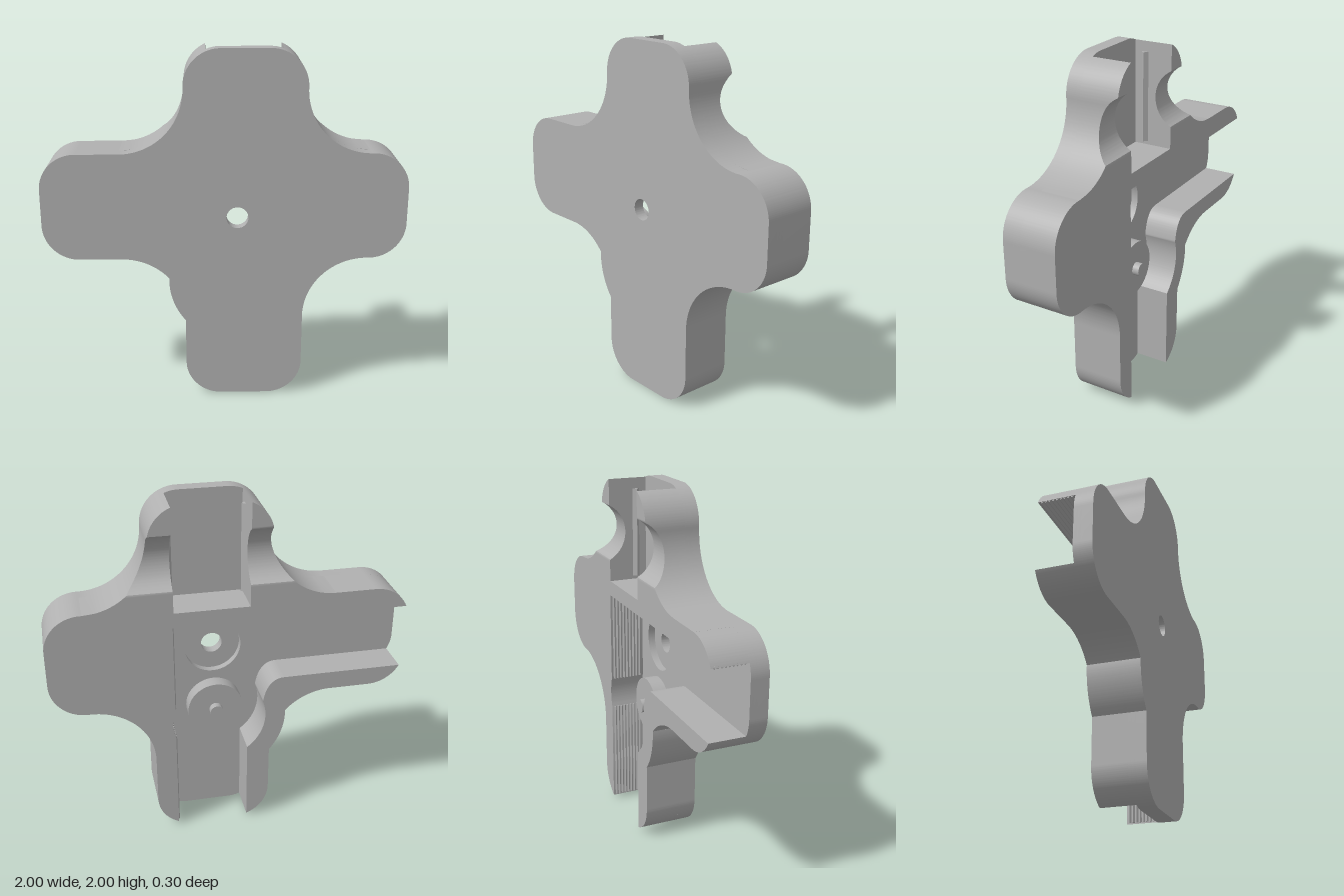
import * as THREE from 'three';
import { toCreasedNormals } from 'three/addons/utils/BufferGeometryUtils.js';

const BACK = -0.15, FRONT = 0.15;
const HUB = [0.07, 0.71];

// Arc from the current point to (x, y) about centre (cx, cy)
function arc(p, cx, cy, x, y, clockwise = false) {
  const c = p.currentPoint;
  p.absarc(cx, cy, Math.hypot(x - cx, y - cy),
    Math.atan2(c.y - cy, c.x - cx), Math.atan2(y - cy, x - cx), clockwise);
}

// Half-width of a circle of radius r at distance d from its centre
const chord = (r, d) => Math.sqrt(Math.max(0, r * r - d * d));

// Lower side of the right arm and its rounded end, up to (0.8, 1.44)
function rightEdge(p) {
  p.lineTo(0.44, 0.49);
  arc(p, 0.79, 0.49, 0.79, 0.84, true);
  p.lineTo(0.8, 0.84);
  arc(p, 0.8, 1.04, 1, 1.04);
  p.lineTo(1, 1.24);
  arc(p, 0.8, 1.24, 0.8, 1.44);
}

// Underside of the left arm, around the bulge, to the bottom arm
function lowerLeftEdge(p) {
  p.lineTo(-0.57, 0.84);
  arc(p, -0.57, 0.49, -0.3097, 0.724, true);
  arc(p, ...HUB, -0.2209, 0.4655);
  p.lineTo(-0.22, 0.2);
}

function circleHole(x, y, r) {
  const h = new THREE.Path();
  h.absarc(x, y, r, 0, Math.PI * 2, true);
  return h;
}

// Cross outline; the short one leaves out the top arm
function outline(holeRadius, withTop) {
  const s = new THREE.Shape();
  s.moveTo(-0.02, 0);
  s.lineTo(0.24, 0);
  arc(s, 0.24, 0.2, 0.44, 0.2);
  rightEdge(s);
  if (withTop) {
    s.lineTo(0.79, 1.44);
    arc(s, 0.79, 1.79, 0.44, 1.79, true);
    s.lineTo(0.44, 1.8);
    arc(s, 0.24, 1.8, 0.24, 2);
    s.lineTo(-0.02, 2);
    arc(s, -0.02, 1.8, -0.22, 1.8);
    s.lineTo(-0.22, 1.79);
    arc(s, -0.57, 1.79, -0.57, 1.44, true);
  } else {
    s.lineTo(0.315, 1.44);
    s.lineTo(0.315, 1.405);
    s.lineTo(-0.1, 1.405);
    s.lineTo(-0.1, 1.44);
  }
  s.lineTo(-0.8, 1.44);
  arc(s, -0.8, 1.24, -1, 1.24);
  s.lineTo(-1, 1.04);
  arc(s, -0.8, 1.04, -0.8, 0.84);
  lowerLeftEdge(s);
  arc(s, -0.02, 0.2, -0.02, 0);
  s.holes.push(circleHole(0.07, 1.08, holeRadius));
  return s;
}

// Raised body on the right, with the bar above the side channel
function rightBody() {
  const s = new THREE.Shape();
  s.moveTo(0.322, 0.0176);
  arc(s, 0.24, 0.2, 0.44, 0.2);
  rightEdge(s);
  s.lineTo(0.315, 1.44);
  s.lineTo(0.315, 1.405);
  s.lineTo(-0.1, 1.405);
  s.lineTo(-0.1, 1.44);
  s.lineTo(-0.8, 1.44);
  arc(s, -0.8, 1.24, -0.983, 1.32);
  s.lineTo(0.322, 1.32);
  s.lineTo(0.322, 0.8);
  arc(s, ...HUB, 0.322, 0.62, true);
  return s;
}

// Raised body between the side channel and the bottom channel
function leftBody() {
  const s = new THREE.Shape();
  s.moveTo(-0.976, 0.945);
  arc(s, -0.8, 1.04, -0.8, 0.84);
  lowerLeftEdge(s);
  arc(s, -0.02, 0.2, -0.09, 0.0127);
  s.lineTo(-0.09, 0.499);
  arc(s, ...HUB, -0.179, 0.8, true);
  s.quadraticCurveTo(-0.2, 0.945, -0.3, 0.945);
  return s;
}

// Side wall of the top pocket, lofted upward, with the round cross notch
function pocketWall(side) {
  const inner = side > 0 ? 0.315 : -0.1;
  const edge = side > 0 ? 0.44 : -0.22;
  const rise = chord(0.2, side * (inner - edge) + 0.2);
  const outer = y => {
    if (y < 1.79) return edge + side * (0.35 - chord(0.35, 1.79 - y));
    if (y < 1.8) return edge;
    return edge + side * (chord(0.2, y - 1.8) - 0.2);
  };
  const notch = y => Math.max(BACK, -0.229 + chord(0.174, y - 1.685));
  const rows = 90, pos = [], index = [];
  for (let i = 0; i <= rows; i++) {
    const y = 1.44 + (0.36 + rise) * i / rows;
    const ring = [[inner, 0.07], [outer(y), 0.07], [outer(y), notch(y)], [inner, notch(y)]];
    if (side < 0) ring.reverse();
    for (const [x, z] of ring) pos.push(x, y, z);
  }
  for (let i = 0; i < rows; i++) {
    for (let j = 0; j < 4; j++) {
      const a = i * 4 + j, b = i * 4 + (j + 1) % 4;
      index.push(a, b, b + 4, a, b + 4, a + 4);
    }
  }
  const g = new THREE.BufferGeometry();
  g.setAttribute('position', new THREE.Float32BufferAttribute(pos, 3));
  g.setIndex(index);
  return toCreasedNormals(g, 0.5);
}

export function createModel() {
  const model = new THREE.Group();
  const grey = new THREE.MeshStandardMaterial({ color: 0xb0b0b0 });
  grey.name = 'grey';

  const add = (name, geometry) => {
    const m = new THREE.Mesh(geometry, grey);
    m.name = name;
    model.add(m);
    return m;
  };
  const plate = (name, shape, z0, z1) => {
    const g = new THREE.ExtrudeGeometry(shape, { depth: z1 - z0, bevelEnabled: false, curveSegments: 32 });
    g.translate(0, 0, z0);
    add(name, toCreasedNormals(g, 0.5));
  };
  const disc = (name, r, z0, z1) => {
    const m = add(name, new THREE.CylinderGeometry(r, r, z1 - z0, 40));
    m.rotation.x = Math.PI / 2;
    m.position.set(...HUB, (z0 + z1) / 2);
  };

  // Front plate, stepped floors and the round recess
  plate('frontPlate', outline(0.06, true), 0.09, FRONT);
  plate('recessPlate', outline(0.16, true), 0.07, 0.09);
  plate('channelFloor', outline(0.16, false), 0.05, 0.07);

  // Raised bodies around the channels
  plate('rightBody', rightBody(), BACK, 0.05);
  plate('leftBody', leftBody(), BACK, 0.05);

  // Top pocket walls with guide rails
  for (const side of [1, -1]) {
    add('pocketWall', pocketWall(side));
    const rail = add('guideRail', new THREE.BoxGeometry(0.028, 0.5, 0.028));
    rail.position.set(side > 0 ? 0.315 : -0.1, 1.675, 0.01);
    rail.rotation.y = Math.PI / 4;
  }

  // Hub with its peg
  disc('hubDisc', 0.16, -0.03, 0.06);
  disc('hubPeg', 0.038, -0.07, -0.02);

  // Fine ribs along the two long channel walls
  for (let i = 0; i < 9; i++) {
    const z = -0.13 + i * 0.02;
    for (const [y0, y1] of [[0.025, 0.62], [0.8, 1.32]]) {
      const rib = add('wallRib', new THREE.BoxGeometry(0.011, y1 - y0, 0.011));
      rib.position.set(0.322, (y0 + y1) / 2, z);
      rib.rotation.y = Math.PI / 4;
    }
    const rib = add('channelRib', new THREE.BoxGeometry(1.3, 0.011, 0.011));
    rib.position.set(-0.33, 1.32, z);
    rib.rotation.x = Math.PI / 4;
  }
  return model;
}
